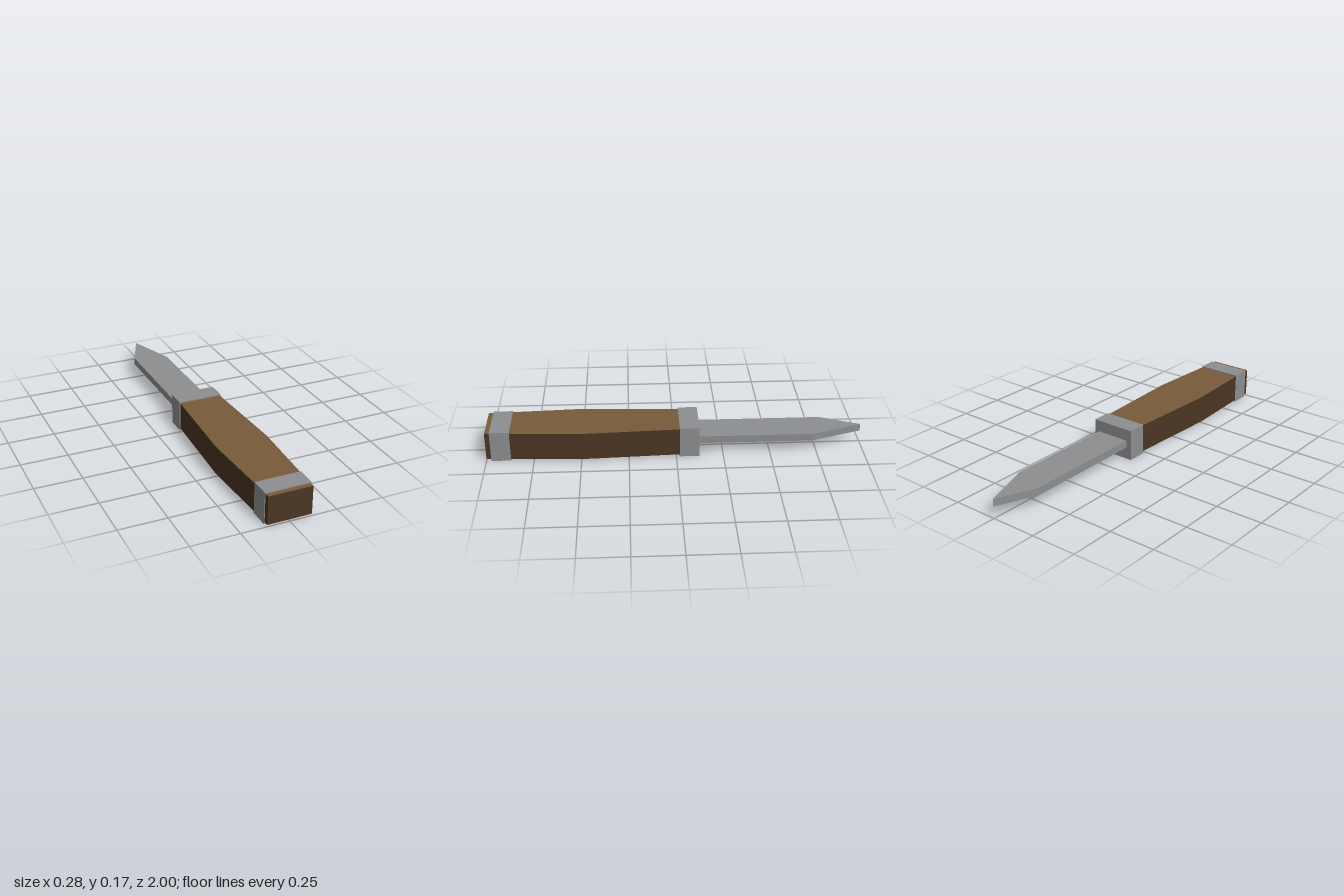
import * as THREE from 'three';

const material = (name, color) => {
  const m = new THREE.MeshStandardMaterial({ color });
  m.name = name;
  return m;
};

// Extrude an outline of [x, z] points upward from y0 to y1
function slab(name, outline, y0, y1, materials) {
  const shape = new THREE.Shape(outline.map(([x, z]) => new THREE.Vector2(x, -z)));
  const geometry = new THREE.ExtrudeGeometry(shape, { depth: y1 - y0, bevelEnabled: false });
  geometry.rotateX(-Math.PI / 2).translate(0, y0, 0);
  const mesh = new THREE.Mesh(geometry, materials);
  mesh.name = name;
  return mesh;
}

export function createModel() {
  const steel = material('steel', 0x8d8e8f);
  const wood = material('wood', 0x785a39);
  const darkWood = material('darkWood', 0x4b3523);
  const group = new THREE.Group();
  group.name = 'knife';

  // Handle: swells at the middle, pale top and bottom with dark sides and ends
  const half = [[0.116, 1], [0.12, 0.87], [0.14, 0.49], [0.115, -0.03]];
  const mirrored = half.map(([x, z]) => [-x, z]).reverse();
  group.add(slab('handle', [...half, ...mirrored], 0.01, 0.161, [wood, darkWood]));

  // Metal bands at both ends of the handle
  for (const [name, z] of [['guard', -0.07], ['pommelBand', 0.923]]) {
    const band = new THREE.Mesh(new THREE.BoxGeometry(0.24, 0.167, 0.104), steel);
    band.name = name;
    band.position.set(0, 0.0835, z);
    group.add(band);
  }

  // Flat blade with an uneven point
  const blade = [[-0.09, -0.1], [0.096, -0.1], [0.096, -0.725], [0, -1], [-0.09, -0.79]];
  group.add(slab('blade', blade, 0.064, 0.104, steel));

  return group;
}
